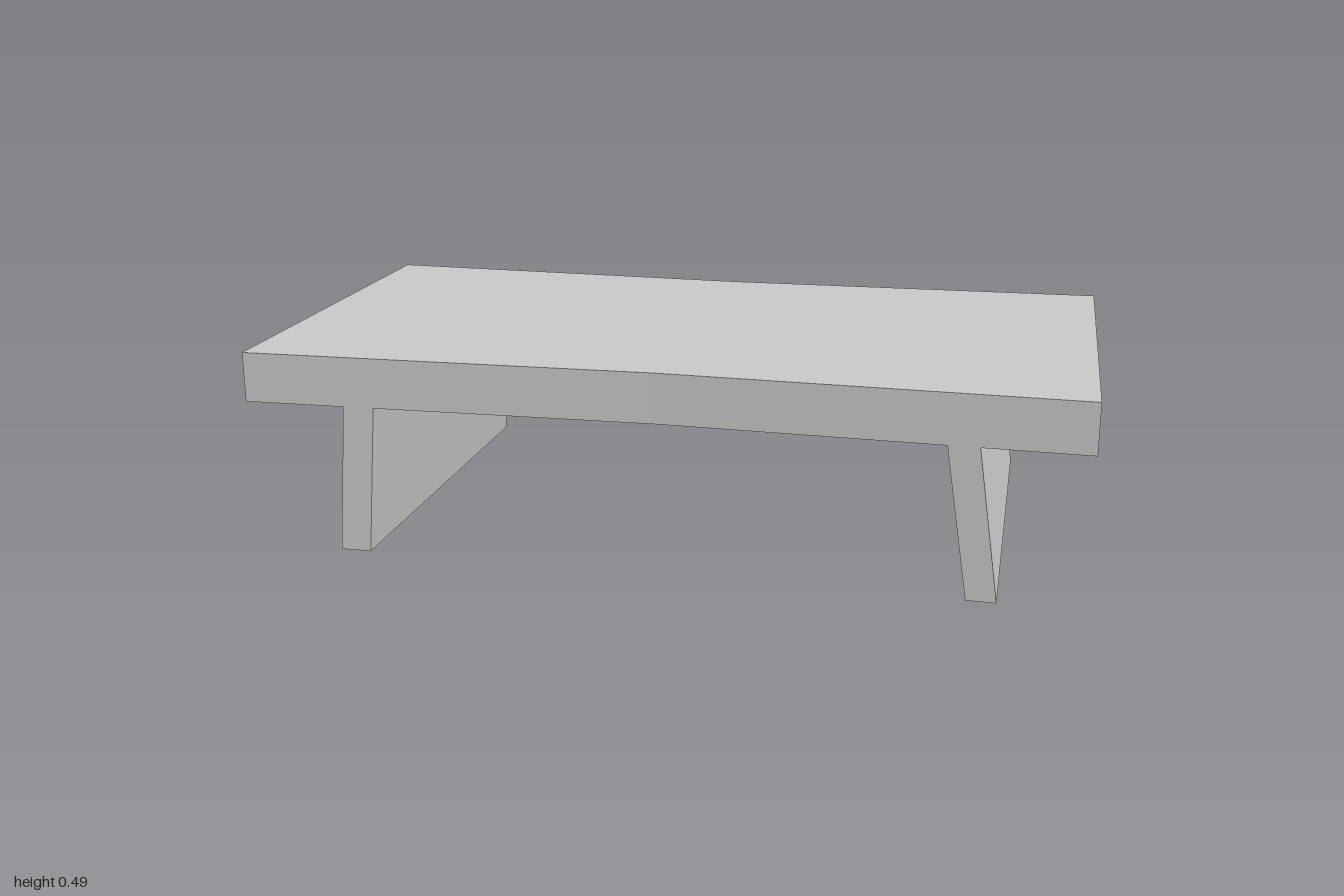
import * as THREE from 'three';

const UNDERSIDE = 0.365, TOP = 0.487;

// Half depth of the table: narrowest in the middle, widening to both ends
const halfDepth = (x) => 0.5 + 0.027 * Math.abs(x);

// Box whose corners are moved to the given x ranges at its bottom and top,
// with the front and back faces following the waisted outline
function panel(name, y0, y1, bottomX, topX, segments = 1) {
  const geometry = new THREE.BoxGeometry(1, 1, 1, segments, 1, 1);
  const p = geometry.attributes.position;
  for (let i = 0; i < p.count; i++) {
    const range = p.getY(i) > 0 ? topX : bottomX;
    const x = THREE.MathUtils.lerp(range[0], range[1], p.getX(i) + 0.5);
    p.setXYZ(i, x, p.getY(i) > 0 ? y1 : y0, Math.sign(p.getZ(i)) * halfDepth(x));
  }
  geometry.computeVertexNormals();
  const material = new THREE.MeshStandardMaterial({ color: 0xcccccc, flatShading: true });
  const mesh = new THREE.Mesh(geometry, material);
  mesh.name = name;
  return mesh;
}

export function createModel() {
  const group = new THREE.Group();
  group.name = 'lowTable';

  // Thick top, split at the middle for the bend in its long edges
  group.add(panel('tableTop', UNDERSIDE, TOP, [-1, 1], [-1, 1], 2));

  // Full-depth slab legs splayed outwards, the left one a little more
  group.add(panel('rightLeg', 0, UNDERSIDE, [-0.78, -0.705], [-0.752, -0.677]));
  group.add(panel('leftLeg', 0, UNDERSIDE, [0.732, 0.802], [0.676, 0.749]));

  return group;
}
